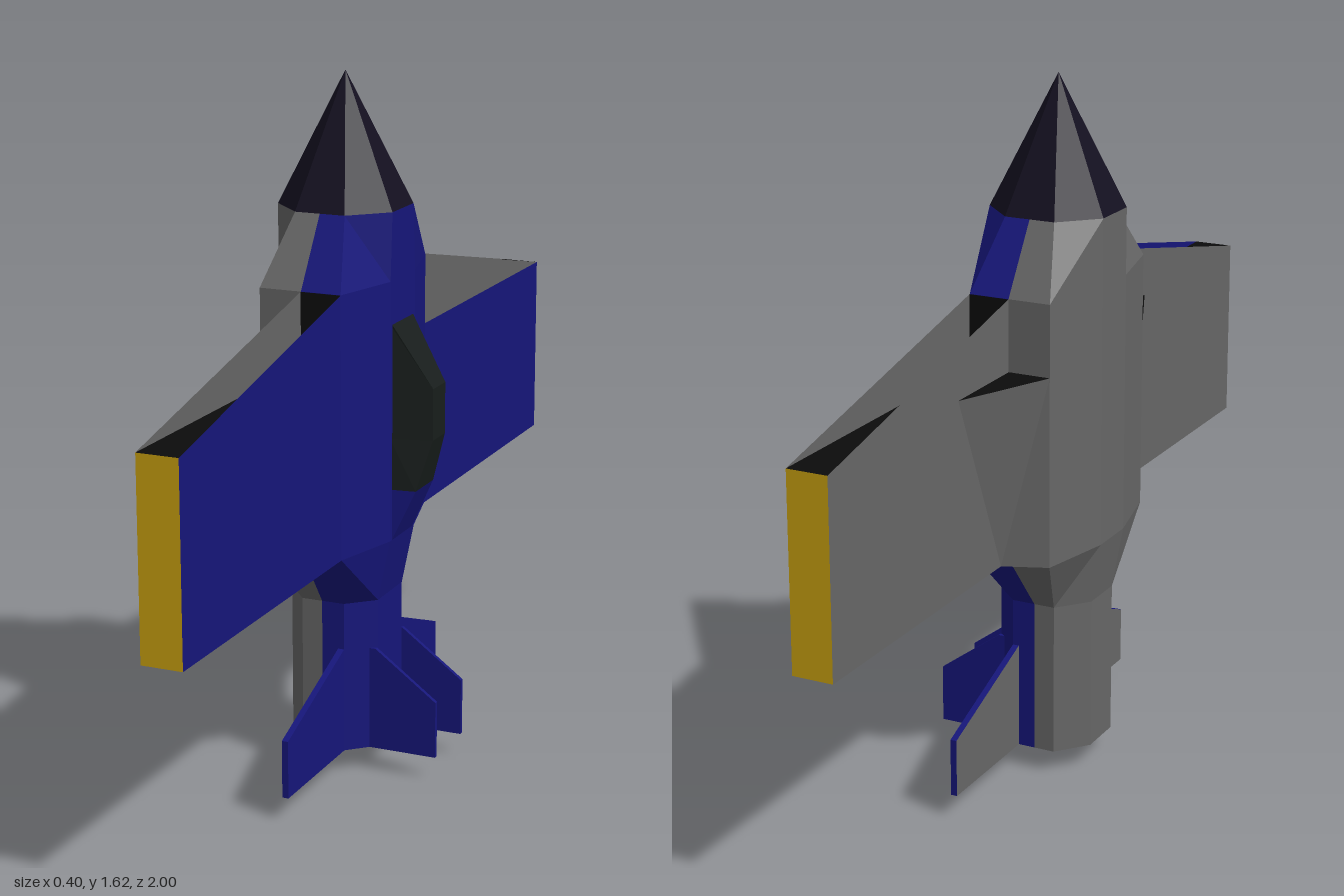
import * as THREE from 'three';

const material = (color) =>
  new THREE.MeshStandardMaterial({ color, flatShading: true, side: THREE.DoubleSide });

// Mesh from a list of convex polygons, each a loop of [x, y, z] corners
function panels(name, mat, polys) {
  const pos = [];
  for (const p of polys)
    for (let i = 1; i < p.length - 1; i++) pos.push(...p[0], ...p[i], ...p[i + 1]);
  const geo = new THREE.BufferGeometry();
  geo.setAttribute('position', new THREE.Float32BufferAttribute(pos, 3));
  geo.computeVertexNormals();
  const mesh = new THREE.Mesh(geo, mat);
  mesh.name = name;
  return mesh;
}

// Quads between neighbouring rows of points
function loft(rows) {
  const polys = [];
  for (let r = 0; r < rows.length - 1; r++)
    for (let i = 0; i < rows[r].length - 1; i++)
      polys.push([rows[r][i], rows[r + 1][i], rows[r + 1][i + 1], rows[r][i + 1]]);
  return polys;
}

export function createModel() {
  const group = new THREE.Group();
  const blue = material(0x16167a), grey = material(0x666666), yellow = material(0xc8a010);
  const black = material(0x0c0c0c), noseMat = material(0x141020), glass = material(0x181e1c);
  const add = (name, mat, polys) => group.add(panels(name, mat, polys));

  // Fuselage half sections [x, z], belly to back; index 2 is the colour split
  const narrow = [[-0.2, 0.06], [-0.12, 0.14], [-0.06, 0.14], [0, 0.14], [0.08, 0.06]];
  const wide = [[-0.2, 0.06], [-0.16, 0.24], [-0.06, 0.24], [0.035, 0.24], [0.08, 0.07]];
  const tail = [[-0.175, 0.055], [-0.115, 0.127], [-0.065, 0.127], [-0.01, 0.127], [0.05, 0.07]];
  const stations = [[1.32, narrow], [1.165, wide], [0.56, wide], [0.415, tail], [0.055, tail]];
  const strip = (y, pts) => [
    ...pts.map(([x, z]) => [x, y, z]),
    ...pts.map(([x, z]) => [x, y, -z]).reverse(),
  ];
  const belly = (s) => [s[2], s[1], s[0]];
  add('bellySkin', grey, loft(stations.map(([y, s]) => strip(y, belly(s)))));
  add('backSkin', blue, loft(stations.map(([y, s]) => strip(y, s.slice(2)))));

  // Nose and tail cones fan from a section to a point on the axis
  const cone = (name, mat, section, y, apexY) => {
    const ring = strip(y, section);
    add(name, mat, ring.map((p, i) => [p, ring[(i + 1) % ring.length], [-0.06, apexY, 0]]));
  };
  cone('noseCone', noseMat, narrow, 1.32, 1.62);
  cone('tailCone', black, tail, 0.055, 0);

  // Canopy sections along the back: [y, top x, half width at top]
  const canopy = [[1.065, 0.08, 0.06], [0.92, 0.17, 0.036], [0.8, 0.17, 0.036], [0.68, 0.135, 0.052], [0.56, 0.08, 0.06]];
  const hood = canopy.map(([y, x, w]) => [[0.075, y, 0.06], [x, y, w], [x, y, -w], [0.075, y, -0.06]]);
  add('canopy', glass, loft(hood.slice(0, 4)));
  add('canopyFairing', blue, loft(hood.slice(3)));

  const lo = -0.06, hi = 0.035, rear = 0.56, front = 1, rootTop = 1.165;
  for (const s of [1, -1]) {
    const side = s > 0 ? 'Left' : 'Right';
    const r = 0.24 * s, t = s;

    // Wing: two skins with an open channel along the leading edge
    add('wingUpperSkin' + side, blue, [[[hi, rear, r], [hi, rear, t], [hi, front, t], [hi, front, r]]]);
    add('wingLeadingPanel' + side, s > 0 ? blue : grey, [[[hi, front, r], [hi, front, t], [hi, rootTop, r]]]);
    add('wingLowerSkin' + side, grey, [[[lo, rear, r], [lo, rear, t], [lo, front, t], [lo, rootTop, r]]]);
    add('wingEdges' + side, black, [
      ...[rear, front].map((y) => [[lo, y, r], [lo, y, t], [hi, y, t], [hi, y, r]]),
      [[lo, front, r + 0.002 * s], [hi, front, r + 0.002 * s], [hi, rootTop, r + 0.002 * s], [lo, rootTop, r + 0.002 * s]],
    ]);
    add('wingTip' + side, yellow, [[[lo, rear, t], [hi, rear, t], [hi, front, t], [lo, front, t]]]);

    // Fairing blending the belly into the wing underside
    const a = [-0.16, front, r], b = [lo, front, 0.47 * s];
    const c = [lo, rear, 0.28 * s], d = [-0.16, rear, r];
    add('wingFairing' + side, grey, [[a, b, c], [a, c, d]]);
    add('wingFairingEnds' + side, black, [[a, b, [lo, front, r]], [d, c, [lo, rear, r]]]);

    // Tailplane: grey underneath, blue above and round the rim
    const plan = [[0.055, 0.1], [0.055, 0.43], [0.19, 0.43], [0.305, 0.125], [0.305, 0.1]];
    const layer = (x) => plan.map(([y, z]) => [x, y, z * s]);
    const under = layer(-0.025), over = layer(-0.01);
    add('tailplaneUnderside' + side, grey, [under]);
    add('tailplane' + side, blue, [over, ...loft([under, over])]);

    // Twin upright fin
    const outline = [[0, 0.055], [0.2, 0.055], [0.2, 0.19], [0.05, 0.3], [0, 0.3]];
    const [inner, outer] = [0.074, 0.084].map((z) => outline.map(([x, y]) => [x, y, z * s]));
    add('fin' + side, blue, [inner, outer, ...loft([inner, outer])]);
  }
  return group;
}
